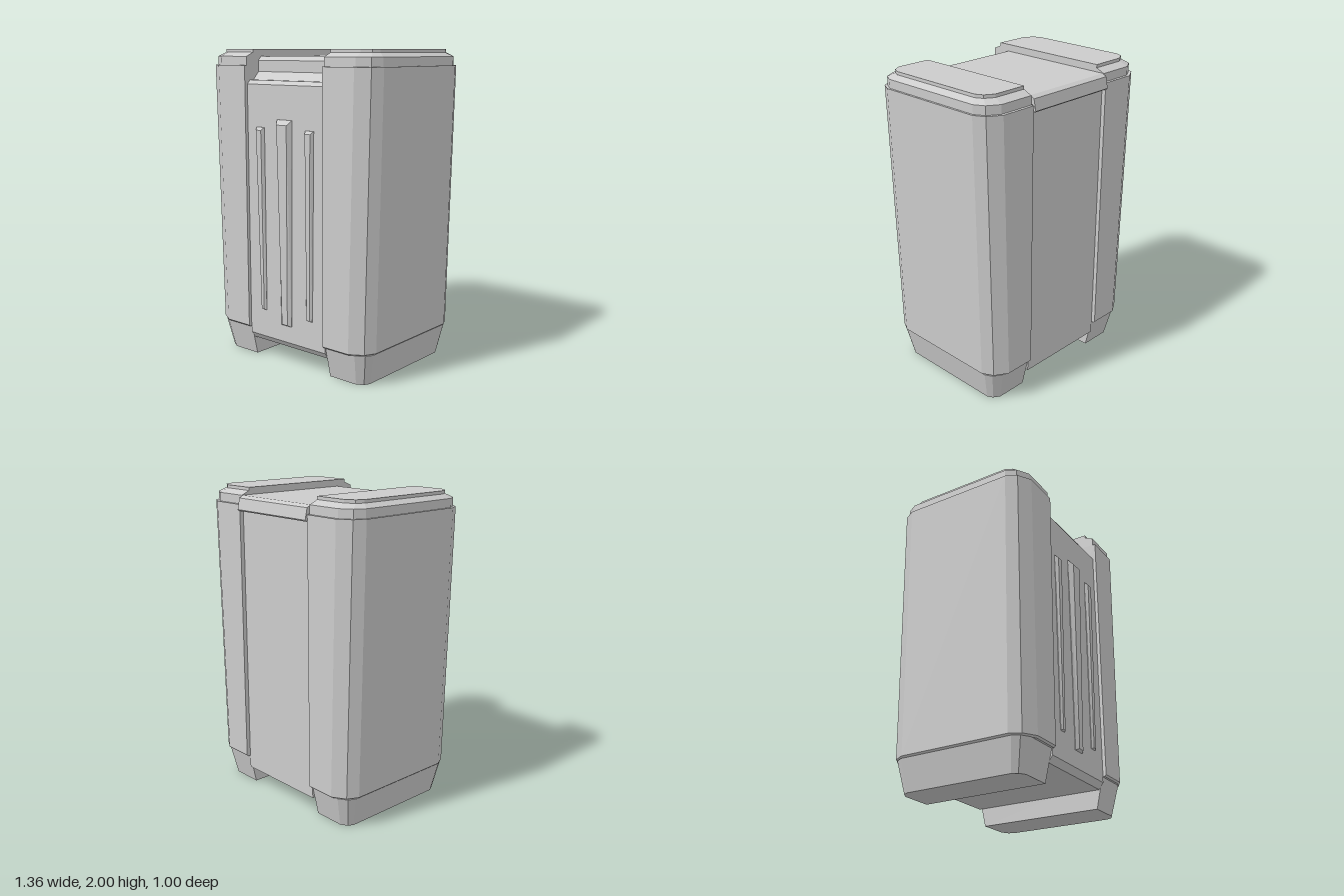
import * as THREE from 'three';

const material = new THREE.MeshStandardMaterial({ color: 0xcccccc, flatShading: true });

function addMesh(parent, name, geometry) {
  const mesh = new THREE.Mesh(geometry, material);
  mesh.name = name;
  parent.add(mesh);
}

// Joins convex rings of equal length into a closed, faceted solid
function loft(rings) {
  const out = [];
  const tri = (a, b, c) => out.push(...a, ...b, ...c);
  const n = rings[0].length;
  for (let r = 0; r < rings.length - 1; r++) {
    const a = rings[r], b = rings[r + 1];
    for (let i = 0; i < n; i++) {
      const j = (i + 1) % n;
      tri(a[i], a[j], b[j]);
      tri(a[i], b[j], b[i]);
    }
  }
  const first = rings[0], last = rings[rings.length - 1];
  for (let i = 1; i < n - 1; i++) {
    tri(first[0], first[i + 1], first[i]);
    tri(last[0], last[i], last[i + 1]);
  }
  const g = new THREE.BufferGeometry();
  g.setAttribute('position', new THREE.Float32BufferAttribute(out, 3));
  g.computeVertexNormals();
  return g;
}

const INNER = 0.32;

// Horizontal section of a side section, with two-step bevelled outer corners
function sideRing([y, x, z, c], side) {
  const half = [[INNER, z], [x - c, z], [x - 0.3 * c, z - 0.42 * c], [x, z - c]];
  const back = half.map(([px, pz]) => [px, -pz]).reverse();
  const ring = [...half, ...back].map(([px, pz]) => [px * side, y, pz]);
  return side < 0 ? ring.reverse() : ring;
}

// Levels: height, outer x, half depth, corner size
const FOOT = [[0, 0.585, 0.415, 0.06], [0.2, 0.628, 0.46, 0.08]];
const BODY = [[0.2, 0.628, 0.475, 0.115], [0.21, 0.64, 0.487, 0.12], [1.9, 0.678, 0.487, 0.12]];
const CAP = [[1.9, 0.664, 0.468, 0.11], [1.955, 0.664, 0.468, 0.11],
  [1.98, 0.625, 0.412, 0.08], [2, 0.625, 0.412, 0.08]];

// Raised rib, tapering downwards: [left, right] at top and bottom
function rib(top, bottom, yTop, yBottom, bevel, zTop, zBottom) {
  const ring = (b, zt, zb) => [
    [bottom[0] + b, yBottom + b * 0.5, zb], [bottom[1] - b, yBottom + b * 0.5, zb],
    [top[1] - b, yTop - b * 1.5, zt], [top[0] + b, yTop - b * 1.5, zt],
  ];
  return loft([ring(0, 0.455, 0.455), ring(0, 0.468, 0.468), ring(bevel, zTop, zBottom)]);
}

export function createModel() {
  const model = new THREE.Group();
  model.name = 'container';

  // Two mirrored side sections
  for (const side of [1, -1]) {
    const group = new THREE.Group();
    group.name = side > 0 ? 'leftSide' : 'rightSide';
    for (const [name, levels] of [['foot', FOOT], ['sideBody', BODY], ['sideCap', CAP]]) {
      addMesh(group, name, loft(levels.map((l) => sideRing(l, side))));
    }
    model.add(group);
  }

  // Recessed centre: (z, y) profile with stepped front and overhanging back lip
  const profile = [
    [-0.46, 0.12], [0.435, 0.12], [0.465, 0.16], [0.465, 1.785], [0.44, 1.81], [0.41, 1.81],
    [0.365, 1.86], [0.365, 1.93], [0.34, 1.955], [-0.46, 1.955], [-0.488, 1.94],
    [-0.503, 1.87], [-0.49, 1.86], [-0.475, 1.905], [-0.46, 1.905],
  ].map(([z, y]) => new THREE.Vector2(z, y));
  const centre = new THREE.ExtrudeGeometry(new THREE.Shape(profile),
    { depth: 2 * INNER, bevelEnabled: false });
  centre.rotateY(-Math.PI / 2).translate(INNER, 0, 0);
  addMesh(model, 'centreBody', centre);

  // Three front ribs
  addMesh(model, 'centreRib', rib([-0.062, 0.062], [-0.043, 0.043], 1.575, 0.27, 0.02, 0.497, 0.485));
  addMesh(model, 'leftRib', rib([0.17, 0.236], [0.17, 0.219], 1.52, 0.34, 0.012, 0.487, 0.48));
  addMesh(model, 'rightRib', rib([-0.24, -0.174], [-0.22, -0.174], 1.52, 0.34, 0.012, 0.487, 0.48));

  return model;
}
